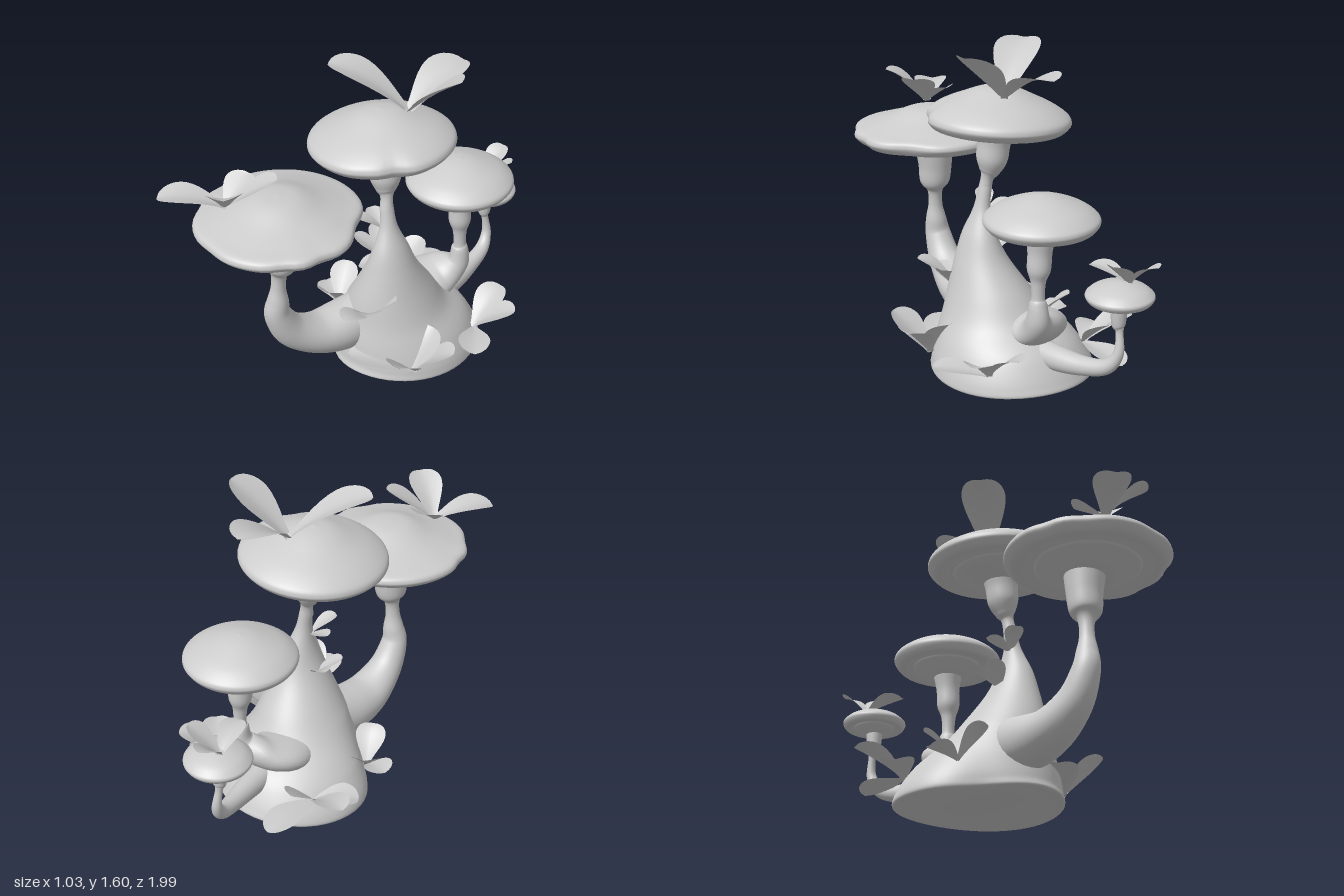
import * as THREE from 'three';

const grey = new THREE.MeshStandardMaterial({ color: 0xcccccc });
const thin = new THREE.MeshStandardMaterial({ color: 0xcccccc, side: THREE.DoubleSide });
const V = (x, y, z) => new THREE.Vector3(x, y, z);
const X = V(1, 0, 0);

// Bell-shaped falloff around an angle
const bell = (a, centre, spread) => {
  const d = Math.atan2(Math.sin(a - centre), Math.cos(a - centre)) / spread;
  return Math.exp(-d * d);
};

// Grid of points (rows x cols) to a smooth indexed surface
function skin(rows, cols, wrap, pointAt) {
  const pos = [], idx = [];
  for (let i = 0; i < rows; i++)
    for (let j = 0; j < cols; j++) pos.push(...pointAt(i / (rows - 1), j / (wrap ? cols : cols - 1)).toArray());
  for (let i = 0; i < rows - 1; i++)
    for (let j = 0; j < (wrap ? cols : cols - 1); j++) {
      const k = (j + 1) % cols, a = i * cols + j, b = i * cols + k, c = b + cols, d = a + cols;
      idx.push(a, b, c, a, c, d);
    }
  const g = new THREE.BufferGeometry();
  g.setAttribute('position', new THREE.Float32BufferAttribute(pos, 3));
  g.setIndex(idx);
  g.computeVertexNormals();
  return g;
}

// Sections [x, y, z, rx, rz] joined smoothly; flat keeps the rings horizontal
function loft(sections, { flat = false, rows = 60, cols = 40, warp = (p) => p } = {}) {
  const path = new THREE.CatmullRomCurve3(sections.map(s => V(s[0], s[1], s[2])), false, 'catmullrom', 0.5);
  const radii = new THREE.CatmullRomCurve3(sections.map(s => V(s[3], s[4] ?? s[3], 0)), false, 'catmullrom', 0.5);
  return skin(rows, cols, true, (u, v) => {
    const c = path.getPoint(u), r = radii.getPoint(u), t = flat ? V(0, 1, 0) : path.getTangent(u);
    const b = t.clone().cross(X).normalize(), a = b.clone().cross(t), w = v * Math.PI * 2;
    return warp(c.addScaledVector(a, Math.max(r.x, 0.0005) * Math.cos(w))
      .addScaledVector(b, Math.max(r.y, 0.0005) * Math.sin(w)));
  });
}

function add(parent, name, geometry, material = grey) {
  const m = new THREE.Mesh(geometry, material);
  m.name = name;
  parent.add(m);
  return m;
}

// Petal-shaped leaf arching from base to tip
function leaf(base, tip, width, lift) {
  const b = V(...base), e = V(...tip), len = b.distanceTo(e);
  const mid = b.clone().lerp(e, 0.55).add(V(0, lift * len, 0));
  const curve = new THREE.QuadraticBezierCurve3(b, mid, e);
  const out = e.clone().sub(b).setY(0).normalize(), side = V(-out.z, 0, out.x);
  return skin(15, 9, false, (u, v) => {
    const s = 1 - (1 - u) ** 1.5, k = v * 2 - 1;
    const half = width / 2 * (0.2 + 0.8 * Math.sin(Math.PI / 2 * Math.min(1, s / 0.65)) ** 1.3)
      * Math.sqrt(Math.max(0, 1 - Math.max(0, (s - 0.6) / 0.4) ** 2));
    const n = curve.getTangent(s).cross(side).normalize();
    if (n.y < 0) n.negate();
    return curve.getPoint(s).addScaledVector(side, half * k).addScaledVector(n, half * 0.22 * Math.abs(k) ** 1.5);
  });
}

// Mushroom cap: dome over a rolled rim, with a conical swelling underneath
function cap(R, top, under, crown, dents) {
  const profile = [[-under * 2.1, 0.02], [-under * 2.05, 0.24], [-under * 1.5, 0.46], [-under * 1.05, 0.61],
    [-under * 0.8, 0.66], [-under, 0.78], [-under * 0.95, 0.9], [-under * 0.4, 0.985], [0, 1], [top * 0.17, 0.955],
    [top * crown, 0.78], [top * (crown + 0.25), 0.53], [top * 0.92, 0.25], [top, 0]];
  return loft(profile.map(([y, r]) => [0, y, 0, r * R]), {
    flat: true, rows: 70, cols: 64,
    warp: (p) => {
      const a = Math.atan2(p.z, p.x), q = Math.min(1, Math.hypot(p.x, p.z) / R);
      const k = dents.reduce((sum, [angle, spread, depth]) => sum - depth * bell(a, angle, spread) * q ** 3, 1);
      return V(p.x * k, p.y, p.z * k);
    },
  });
}

export function createModel() {
  const model = new THREE.Group();
  model.name = 'mushroomMound';

  // Leaning mound that tapers into the tallest stem; saddle-shaped underside, flattened on one side
  add(model, 'mound', loft([
    [0, 0.06, -0.15, 0], [-0.01, 0.055, -0.15, 0.2, 0.2], [-0.01, 0.05, -0.15, 0.37, 0.385],
    [-0.01, 0.09, -0.15, 0.39, 0.39], [0.01, 0.2, -0.12, 0.32, 0.34], [0.025, 0.3, -0.07, 0.25, 0.265],
    [0.045, 0.42, -0.04, 0.185, 0.21], [0.065, 0.56, -0.01, 0.12, 0.14], [0.07, 0.68, 0, 0.075, 0.095],
    [0.055, 0.8, 0, 0.04, 0.045], [0.035, 0.92, -0.005, 0.03, 0.03],
  ], {
    flat: true, rows: 90, cols: 56,
    warp: (p) => {
      const low = Math.max(0, 1 - p.y / 0.35), dz = p.z + 0.15;
      const k = 1 - 0.2 * low * bell(Math.atan2(dz, p.x), Math.PI * 0.75, 0.5);
      const sag = Math.max(0, 1 - p.y / 0.18) * 1.35;
      p.y += sag * (0.02 * p.x - 0.3 * p.x * p.x - 0.12 * dz * dz);
      return p.set(p.x * k, p.y, -0.15 + dz * k);
    },
  }));

  // Stems, from the root to the swollen neck under each cap
  const stems = {
    topStem: [[0.04, 0.88, 0, 0.033], [0.03, 0.95, -0.01, 0.031], [0.02, 0.985, -0.015, 0.05],
      [0.01, 1.04, -0.02, 0.074], [0, 1.12, -0.022, 0.08], [-0.01, 1.2, -0.025, 0.095]],
    frontStem: [[-0.04, 0.26, 0.07, 0.12, 0.13], [-0.06, 0.24, 0.21, 0.13, 0.125], [-0.08, 0.26, 0.36, 0.115, 0.1],
      [-0.095, 0.345, 0.495, 0.085], [-0.1, 0.47, 0.565, 0.066], [-0.09, 0.56, 0.568, 0.052],
      [-0.085, 0.64, 0.565, 0.036], [-0.08, 0.72, 0.56, 0.04], [-0.075, 0.77, 0.555, 0.075],
      [-0.075, 0.86, 0.55, 0.085], [-0.07, 0.98, 0.55, 0.1]],
    backStem: [[-0.02, 0.25, -0.2, 0.14, 0.1], [-0.02, 0.275, -0.3, 0.16, 0.085], [0.025, 0.31, -0.395, 0.125, 0.075],
      [0.082, 0.38, -0.452, 0.06], [0.09, 0.47, -0.458, 0.042], [0.09, 0.5, -0.457, 0.031],
      [0.088, 0.58, -0.455, 0.036], [0.085, 0.64, -0.455, 0.055], [0.08, 0.73, -0.455, 0.058],
      [0.075, 0.84, -0.455, 0.08]],
    smallStem: [[0.01, 0.18, -0.3, 0.07], [0, 0.185, -0.5, 0.06], [-0.025, 0.2, -0.66, 0.045],
      [-0.05, 0.235, -0.775, 0.036], [-0.07, 0.31, -0.825, 0.025], [-0.08, 0.41, -0.818, 0.018],
      [-0.08, 0.45, -0.81, 0.032], [-0.08, 0.55, -0.81, 0.042]],
  };
  for (const [name, path] of Object.entries(stems)) add(model, name, loft(path, { rows: 80, cols: 28 }));

  // Caps: centre at the rim, radius, height above, depth below, crown shape, rim dents
  const caps = [
    ['topCap', [-0.02, 1.24, -0.025], 0.347, 0.155, 0.048, 0.42, [[0.55, 0.18, 0.09], [0.9, 0.2, 0.03]]],
    ['frontCap', [-0.055, 1.045, 0.56], 0.388, 0.125, 0.048, 0.32,
      [[0.15, 0.15, 0.05], [0.62, 0.15, 0.04], [-0.65, 0.3, 0.1], [3.0, 0.15, 0.04], [1.6, 0.2, 0.03], [2.5, 0.2, 0.04]]],
    ['backCap', [0.072, 0.88, -0.455], 0.266, 0.115, 0.045, 0.46, []],
    ['smallCap', [-0.08, 0.59, -0.813], 0.156, 0.066, 0.03, 0.5, []],
  ];
  for (const [name, at, R, top, under, crown, dents] of caps) {
    const m = add(model, name, cap(R, top, under, crown, dents));
    m.position.set(...at);
    if (name === 'topCap') m.rotation.z = 0.07;
  }

  // Leaf clusters: base, leaf width, tips
  const clusters = {
    topCapLeaves: [[0.035, 1.36, -0.14], 0.22, [[-0.27, 1.57, 0.08], [0.31, 1.6, -0.2], [0.04, 1.51, -0.485]]],
    frontCapLeaves: [[-0.18, 1.13, 0.76], 0.17,
      [[-0.38, 1.18, 0.98], [0.01, 1.3, 0.61], [-0.01, 1.3, 0.88], [-0.2, 1.23, 0.6]]],
    smallCapLeaves: [[-0.115, 0.64, -0.835], 0.12, [[-0.13, 0.76, -0.99], [0.03, 0.77, -0.88], [-0.06, 0.69, -0.64]]],
    rightBackLeaves: [[-0.28, 0.14, -0.37], 0.16,
      [[-0.51, 0.26, -0.46], [-0.24, 0.14, -0.68], [-0.46, 0.16, -0.26], [-0.28, 0.29, -0.55]]],
    rightFrontLeaves: [[-0.32, 0.13, 0.01], 0.15, [[-0.46, 0.17, -0.03], [-0.4, 0.28, -0.13], [-0.27, 0.28, 0.14]]],
    leftBackLeaves: [[0.3, 0.13, -0.36], 0.16, [[0.47, 0.27, -0.48], [0.49, 0.17, -0.18], [0.28, 0.28, -0.57]]],
    leftFrontLeaves: [[0.32, 0.1, 0.07], 0.18,
      [[0.51, 0.28, -0.01], [0.4, 0.28, 0.26], [0.31, 0.29, -0.07], [0.06, 0.16, 0.27]]],
    frontMoundLeaves: [[0.09, 0.35, 0.16], 0.13, [[0.23, 0.5, 0.29], [0.22, 0.49, 0.1], [0.1, 0.43, 0.33]]],
    trunkLeaves: [[0.025, 0.77, 0.01], 0.09, [[-0.05, 0.85, 0.12], [-0.1, 0.82, -0.02]]],
    lowerTrunkLeaves: [[-0.02, 0.57, -0.02], 0.1, [[-0.14, 0.67, -0.1], [-0.14, 0.67, 0.05]]],
  };
  for (const [name, [base, width, tips]] of Object.entries(clusters)) {
    const g = new THREE.Group();
    g.name = name;
    tips.forEach((tip, i) => add(g, 'leaf', leaf(base, tip, width, i % 2 ? 0.08 : 0.2), thin));
    model.add(g);
  }
  return model;
}
